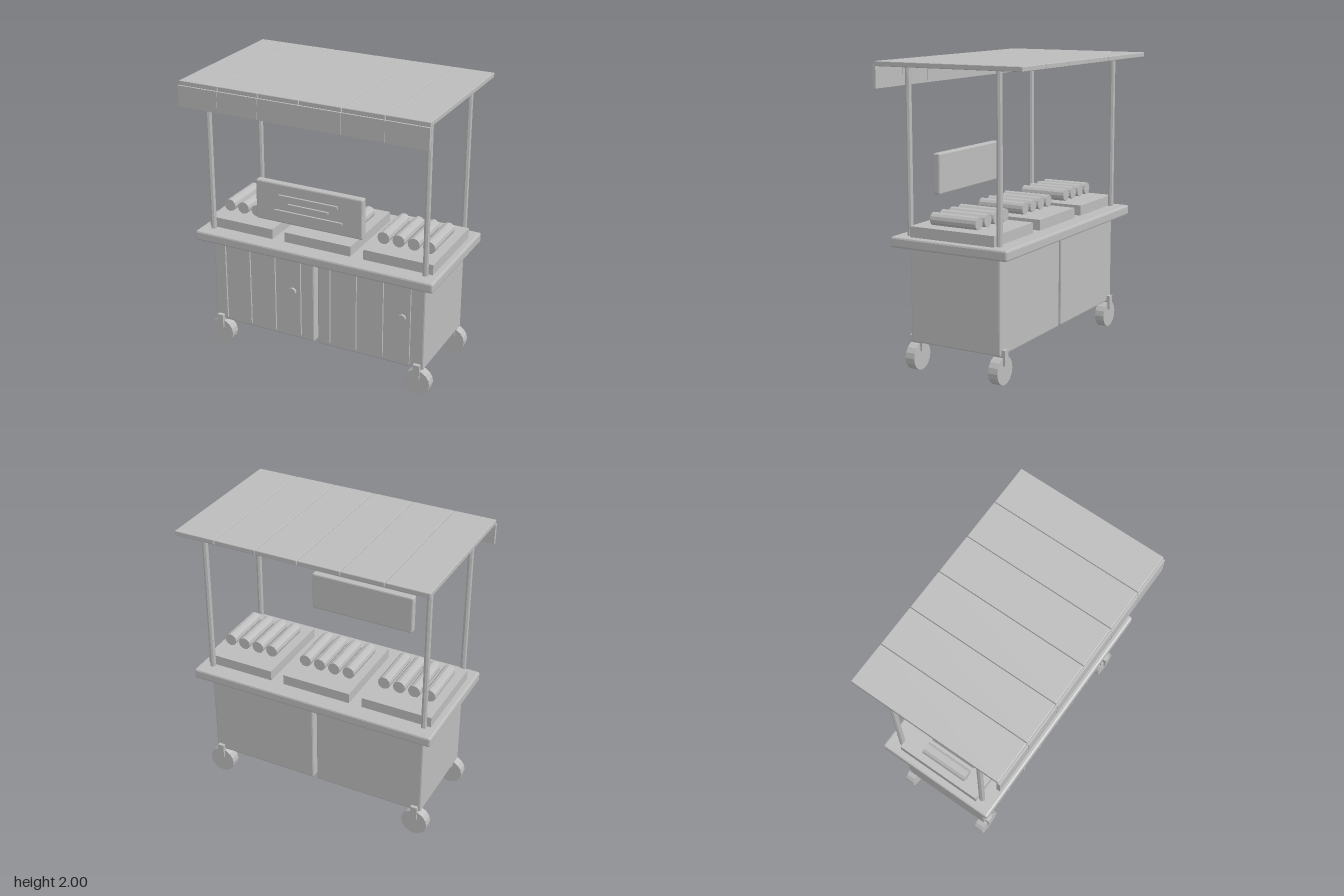
import * as THREE from 'three';
import { RoundedBoxGeometry } from 'three/addons/geometries/RoundedBoxGeometry.js';

export function createModel() {
  const cart = new THREE.Group();
  cart.name = 'marketCart';
  const grey = new THREE.MeshStandardMaterial({ color: 0xbcbcbc });
  grey.name = 'plain grey';

  function add(name, geometry, x, y, z) {
    const flat = geometry.index ? geometry.toNonIndexed() : geometry;
    flat.computeVertexNormals(); // faceted look
    const mesh = new THREE.Mesh(flat, grey);
    mesh.name = name;
    mesh.position.set(x, y, z);
    cart.add(mesh);
    return mesh;
  }

  // Box given by its extents, with an optional bevel
  function box(name, [x0, x1], [y0, y1], [z0, z1], bevel = 0) {
    const w = x1 - x0, h = y1 - y0, d = z1 - z0;
    const geometry = bevel
      ? new RoundedBoxGeometry(w, h, d, 1, bevel)
      : new THREE.BoxGeometry(w, h, d);
    return add(name, geometry, (x0 + x1) / 2, (y0 + y1) / 2, (z0 + z1) / 2);
  }

  // Cylinder lying along z
  function rod(name, radius, length, sides, x, y, z) {
    const geometry = new THREE.CylinderGeometry(radius, radius, length, sides).rotateX(Math.PI / 2);
    return add(name, geometry, x, y, z);
  }

  // Roof planks
  const pitch = 1.75 / 6;
  for (let i = 0; i < 6; i++) {
    const x = -0.875 + i * pitch;
    box('roofPlank', [x + 0.002, x + pitch - 0.002], [1.968, 2], [-0.54, 0.527], 0.004);
  }

  // Valance hanging from the front of the roof
  const cuts = [-0.875, -0.584, -0.292, 0.292, 0.584, 0.875];
  for (let i = 0; i < 5; i++) {
    box('valance', [cuts[i] + 0.001, cuts[i + 1] - 0.001], [1.828, 1.97], [0.515, 0.54]);
  }

  // Posts, casters
  for (const side of [-1, 1]) {
    for (const z of [0.325, -0.335]) {
      add('post', new THREE.CylinderGeometry(0.02, 0.02, 1.09, 8), side * 0.79, 1.43, z);
    }
    for (const z of [0.307, -0.316]) {
      rod('wheel', 0.093, 0.068, 16, side * 0.756, 0.093, z);
      box('wheelFork', [side * 0.756 - 0.023, side * 0.756 + 0.023], [0.13, 0.23], [z - 0.048, z + 0.048]);
    }
  }

  // Counter top
  box('counter', [-0.88, 0.88], [0.822, 0.893], [-0.438, 0.424], 0.013);

  // Cabinets with door battens and knobs
  for (const x of [-0.405, 0.405]) {
    box('cabinet', [x - 0.392, x + 0.392], [0.19, 0.818], [-0.34, 0.327], 0.01);
    for (let i = 0; i < 4; i++) {
      const bx = x - 0.3 + i * 0.196;
      box('doorBatten', [bx - 0.006, bx + 0.006], [0.22, 0.79], [0.32, 0.341]);
    }
    rod('doorKnob', 0.027, 0.017, 8, x + 0.247, 0.567, 0.366);
  }

  // Trays with rolled goods
  for (const x of [-0.586, 0, 0.586]) {
    box('tray', [x - 0.246, x + 0.246], [0.89, 0.964], [-0.318, 0.303]);
    for (let i = 0; i < 4; i++) {
      rod('roll', 0.043, 0.338, 12, x + (i - 1.5) * 0.108, 1.012, 0.008);
    }
  }

  // Sign board with raised bars
  box('signBoard', [-0.388, 0.388], [1.09, 1.368], [0.366, 0.42], 0.01);
  for (const [y, half] of [[1.284, 0.216], [1.23, 0.146], [1.175, 0.247]]) {
    box('signBar', [-half, half], [y - 0.009, y + 0.009], [0.415, 0.434]);
  }

  return cart;
}
